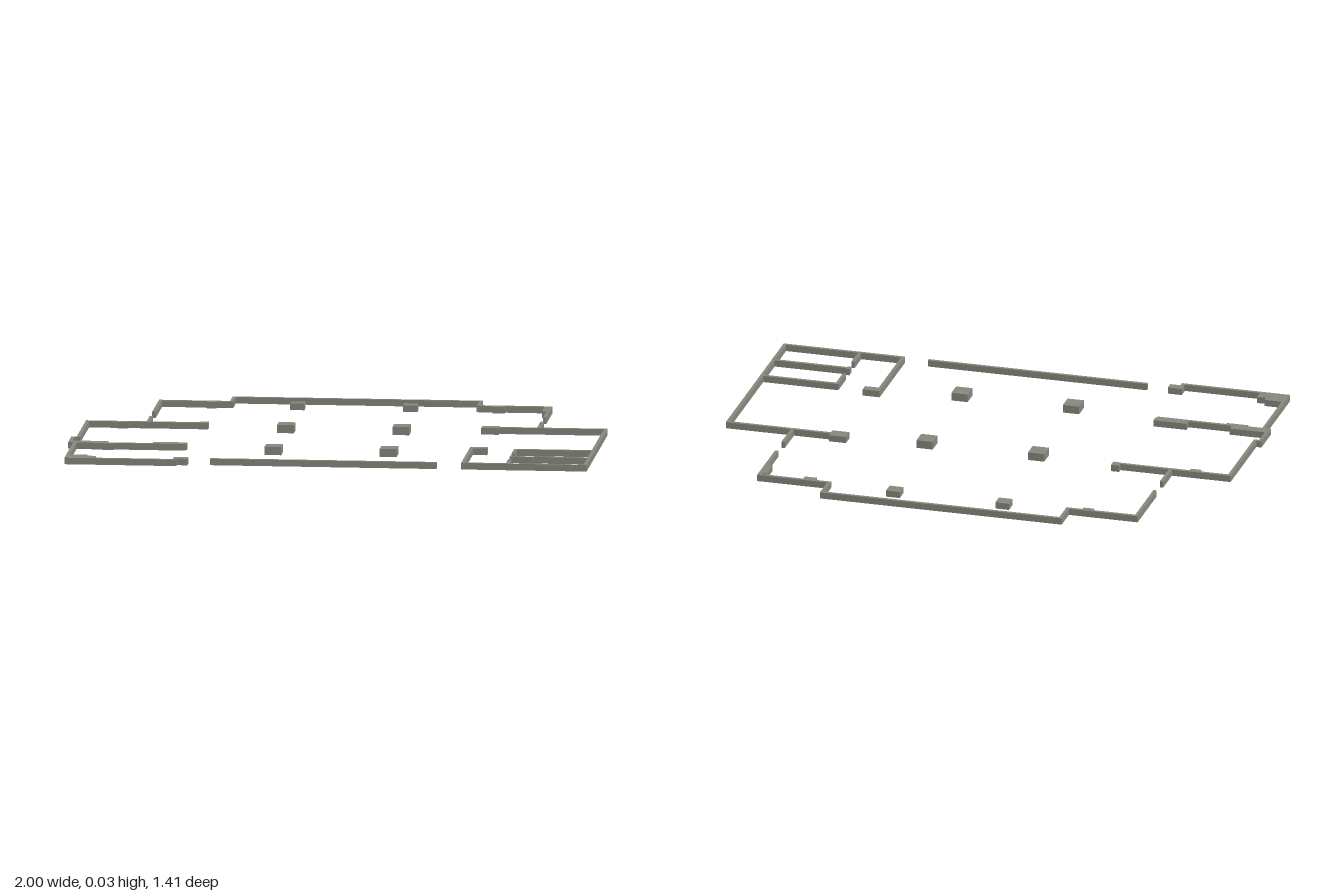
import * as THREE from 'three';

const WALL_H = 0.025, PILLAR_H = 0.031, T = 0.013;

export function createModel() {
  const model = new THREE.Group();
  model.name = 'floorPlan';
  const material = new THREE.MeshStandardMaterial({ color: 0x88877d, side: THREE.DoubleSide });

  // Upright block over a floor rectangle, open underneath
  function block(parent, name, x0, x1, z0, z1, h = WALL_H) {
    const geo = new THREE.BoxGeometry(x1 - x0, h, z1 - z0);
    const index = Array.from(geo.index.array);
    index.splice(18, 6); // drop the bottom face
    geo.setIndex(index);
    geo.clearGroups();
    const mesh = new THREE.Mesh(geo, material);
    mesh.name = name;
    mesh.position.set((x0 + x1) / 2, h / 2, (z0 + z1) / 2);
    parent.add(mesh);
  }
  // Wall running along x, with its back face at z
  const wallX = (g, name, x0, x1, z) => block(g, name, x0, x1, z, z + T);
  // Wall running along z, with its left-hand face at x
  const wallZ = (g, name, x, z0, z1) => block(g, name, x, x + T, z0, z1);
  const group = (name) => {
    const g = new THREE.Group();
    g.name = name;
    model.add(g);
    return g;
  };

  // Back hall with its stepped rear wall and side doorways
  const back = group('backHall');
  wallX(back, 'rearWall', -0.48, 0.47, -0.705);
  wallZ(back, 'rearStepRight', -0.48, -0.705, -0.592);
  wallZ(back, 'rearStepLeft', 0.457, -0.705, -0.592);
  wallX(back, 'rearShoulderRight', -0.75, -0.467, -0.605);
  wallX(back, 'rearShoulderLeft', 0.457, 0.745, -0.605);
  wallZ(back, 'sideWallRight', -0.75, -0.605, -0.34);
  wallZ(back, 'doorWallRight', -0.75, -0.25, -0.12);
  wallZ(back, 'sideWallLeft', 0.732, -0.605, -0.355);
  wallZ(back, 'doorWallLeft', 0.732, -0.265, -0.128);
  block(back, 'sidePilaster', 0.715, 0.735, -0.585, -0.495);
  block(back, 'rearPilasterRight', -0.57, -0.53, -0.6, -0.578);
  block(back, 'rearPilasterLeft', 0.52, 0.567, -0.6, -0.57);

  // Wing on the model's right (-x)
  const right = group('rightWing');
  wallX(right, 'wingBackWall', -0.98, -0.515, -0.128);
  block(right, 'wingEndPier', -0.548, -0.515, -0.147, -0.113);
  block(right, 'wingPilaster', -0.858, -0.817, -0.12, -0.1);
  wallZ(right, 'outerWallBack', -0.98, -0.128, 0.243);
  wallX(right, 'outerJog', -1, -0.967, 0.23);
  wallZ(right, 'outerJogWall', -1, 0.23, 0.36);
  wallX(right, 'partition', -1, -0.555, 0.347);
  block(right, 'partitionOuterPier', -1, -0.85, 0.32, 0.36);
  block(right, 'partitionPilaster', -0.91, -0.825, 0.35, 0.37);
  block(right, 'partitionInnerPier', -0.68, -0.55, 0.32, 0.348);
  wallZ(right, 'outerWallFront', -0.98, 0.36, 0.7);
  wallX(right, 'wingFrontWall', -0.98, -0.555, 0.688);
  block(right, 'cornerPier', -0.98, -0.9, 0.627, 0.7);
  block(right, 'cornerPierStep', -0.9, -0.865, 0.648, 0.7);
  wallZ(right, 'frontReturn', -0.568, 0.67, 0.7);
  block(right, 'frontPier', -0.57, -0.515, 0.645, 0.68);

  // Front wall between the two entrances
  const front = group('frontFacade');
  wallX(front, 'frontWall', -0.43, 0.43, 0.655);

  // Wing on the model's left (+x)
  const left = group('leftWing');
  wallX(left, 'wingBackWall', 0.525, 1, -0.137);
  block(left, 'wingEndPier', 0.523, 0.59, -0.155, -0.105);
  wallZ(left, 'outerWall', 0.987, -0.137, 0.668);
  wallX(left, 'wingFrontWall', 0.523, 1, 0.655);
  wallZ(left, 'innerWall', 0.523, 0.313, 0.668);
  block(left, 'innerPier', 0.523, 0.59, 0.313, 0.347);

  // Small rooms in the left front corner
  wallX(left, 'roomBackWall', 0.692, 1, 0.338);
  wallX(left, 'roomDivider', 0.697, 1, 0.497);
  [[0.338, 0.445], [0.49, 0.517], [0.565, 0.66]]
    .forEach(([z0, z1]) => wallZ(left, 'roomDoorWall', 0.692, z0, z1));

  // Free-standing pillars: four tall inside, two lower at the back
  const pillars = group('pillars');
  for (const x of [-0.216, 0.222]) {
    for (const z of [-0.094, 0.391]) {
      block(pillars, 'pillar', x - 0.032, x + 0.032, z - 0.033, z + 0.033, PILLAR_H);
    }
  }
  for (const x of [-0.222, 0.207]) {
    block(pillars, 'backPillar', x - 0.027, x + 0.027, -0.62, -0.57);
  }
  return model;
}
